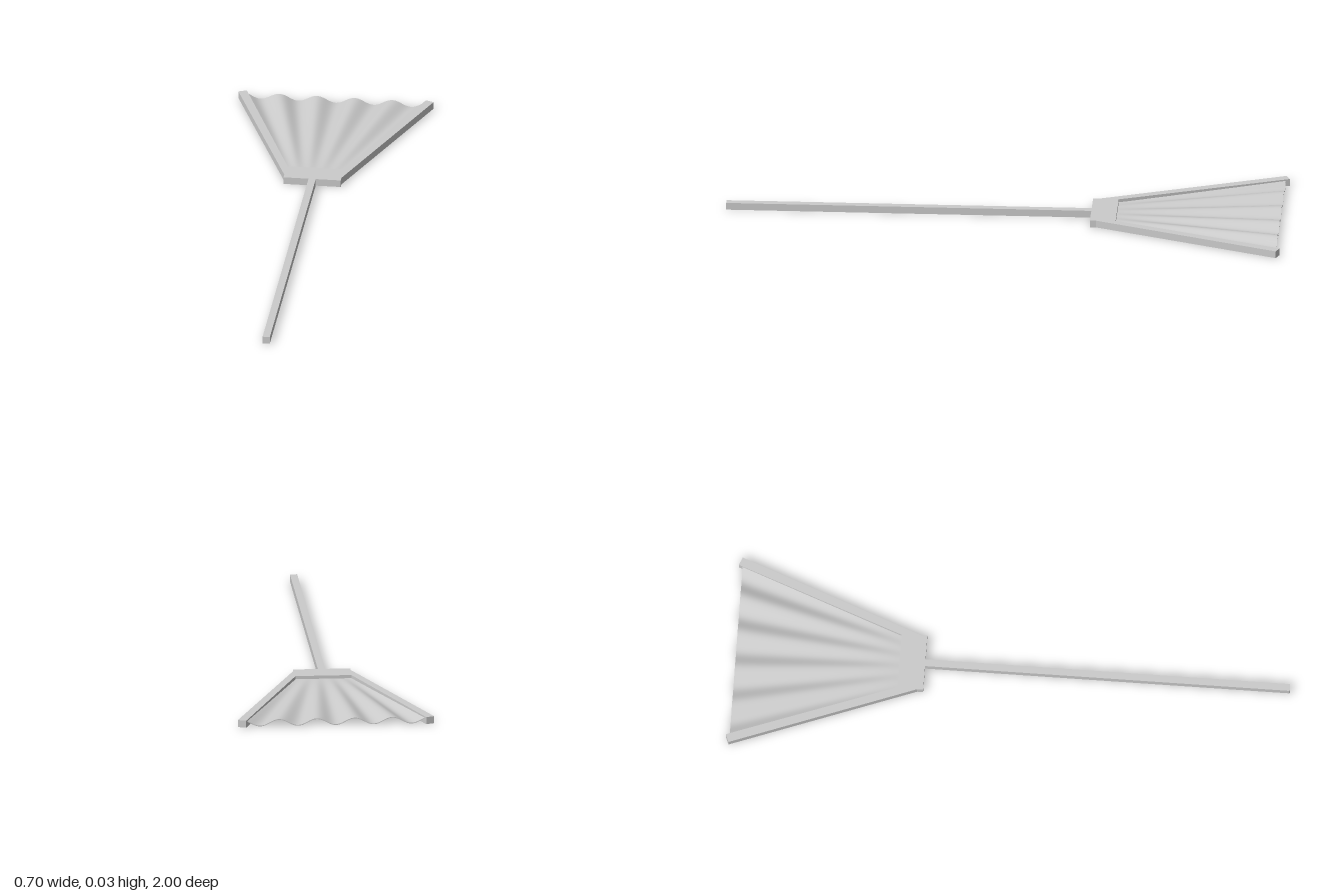
import * as THREE from 'three';

const THICK = 0.026;

export function createModel() {
  const model = new THREE.Group();
  const material = new THREE.MeshStandardMaterial({ color: 0xcccccc });
  const add = (name, geometry) => {
    const mesh = new THREE.Mesh(geometry, material);
    mesh.name = name;
    model.add(mesh);
    return mesh;
  };

  // Square handle running forward from the head
  add('handle', new THREE.BoxGeometry(0.026, THICK, 1.31)).position.set(0, THICK / 2, 0.345);

  // Head frame: collar and two splayed arms, as half an outline mirrored
  const half = [[0.103, 0.308], [0.103, 0.33], [0.352, 0.988], [0.323, 1.0], [0.1, 0.4]];
  const outline = [...half, ...half.map(([x, z]) => [-x, z]).reverse()];
  const frame = new THREE.Shape(outline.map(([x, z]) => new THREE.Vector2(x, z)));
  const frameGeometry = new THREE.ExtrudeGeometry(frame, { depth: THICK, bevelEnabled: false });
  frameGeometry.rotateX(-Math.PI / 2);
  add('headFrame', frameGeometry);

  // Thin fan between the arms, with ripples that grow toward the open edge
  const fanGeometry = new THREE.BoxGeometry(2, 0.003, 1, 80, 1, 12);
  const p = fanGeometry.attributes.position;
  for (let i = 0; i < p.count; i++) {
    const u = p.getX(i);
    const t = 0.5 - p.getZ(i);
    const ripple = -0.0115 * t * Math.cos(u * Math.PI * 4.7);
    p.setXYZ(i, u * (0.102 + 0.217 * t), THICK / 2 + p.getY(i) + ripple, -0.398 - 0.588 * t);
  }
  fanGeometry.computeVertexNormals();
  add('rippledFan', fanGeometry);

  return model;
}
